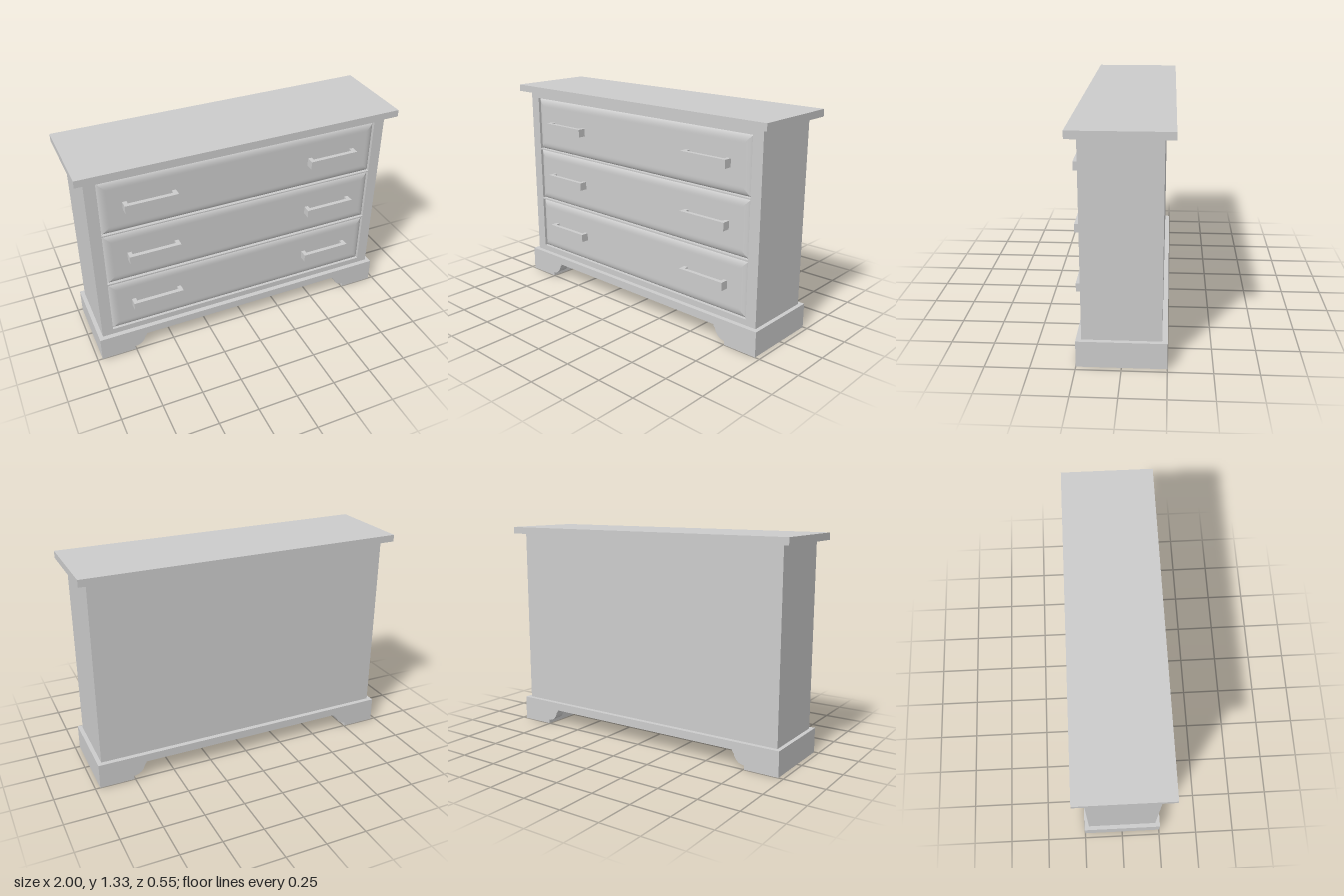
import * as THREE from 'three';

const material = new THREE.MeshStandardMaterial({ color: 0xcccccc });

function add(parent, name, geometry, x = 0, y = 0, z = 0) {
  const mesh = new THREE.Mesh(geometry, material);
  mesh.name = name;
  mesh.position.set(x, y, z);
  parent.add(mesh);
  return mesh;
}

// Box given by its minimum and maximum corners
function addBox(parent, name, [x0, y0, z0], [x1, y1, z1]) {
  return add(parent, name, new THREE.BoxGeometry(x1 - x0, y1 - y0, z1 - z0),
    (x0 + x1) / 2, (y0 + y1) / 2, (z0 + z1) / 2);
}

function rectangle(path, x0, y0, x1, y1) {
  path.moveTo(x0, y0);
  path.lineTo(x1, y0);
  path.lineTo(x1, y1);
  path.lineTo(x0, y1);
  path.closePath();
  return path;
}

const extrude = (shape, depth) =>
  new THREE.ExtrudeGeometry(shape, { depth, bevelEnabled: false });

// Plinth outline: two feet joined by a rail, with optional rounded brackets
function plinthShape(brackets) {
  const right = [[0.97, 0], [0.755, 0]];
  if (brackets) {
    right.push([0.755, 0.025]);
    for (let i = 1; i <= 8; i++) {
      const a = (i / 8) * 1.4;
      right.push([0.755 - 0.07 * Math.sin(a), 0.095 - 0.07 * Math.cos(a)]);
    }
    right.push([0.676, 0.095], [0.674, 0.105]);
  } else {
    right.push([0.755, 0.105]);
  }
  const left = right.map(([x, y]) => [-x, y]).reverse();
  const outline = [[0.97, 0.155], ...right, ...left, [-0.97, 0.155]];
  return new THREE.Shape(outline.map(([x, y]) => new THREE.Vector2(x, y)));
}

// Raised panel: four mitred rounded borders around a flat field
function drawerGeometry(w, h, rise) {
  const profile = [[0, 0], [0, 0.15 * rise]];
  for (let i = 1; i <= 8; i++) {
    const a = (i / 8) * Math.PI / 2;
    profile.push([0.045 * (1 - Math.cos(a)), rise * (0.15 + 0.85 * Math.sin(a))]);
  }
  profile.push([0.052, rise]);
  const corners = [[-1, -1], [1, -1], [1, 1], [-1, 1]];
  const positions = [], index = [];
  const corner = (k, inset, z) => positions.push(
    corners[k % 4][0] * (w / 2 - inset), corners[k % 4][1] * (h / 2 - inset), z);
  for (let side = 0; side < 4; side++) {
    profile.forEach(([inset, z], i) => {
      const a = positions.length / 3;
      corner(side, inset, z);
      corner(side + 1, inset, z);
      if (i > 0) index.push(a - 2, a - 1, a + 1, a - 2, a + 1, a);
    });
  }
  const f = positions.length / 3;
  for (let k = 0; k < 4; k++) corner(k, 0.052, rise);
  index.push(f, f + 1, f + 2, f, f + 2, f + 3);
  const geometry = new THREE.BufferGeometry();
  geometry.setAttribute('position', new THREE.Float32BufferAttribute(positions, 3));
  geometry.setIndex(index);
  geometry.computeVertexNormals();
  return geometry;
}

// U-shaped pull: a bar on two end posts
function addHandle(parent, x, y, z) {
  const handle = new THREE.Group();
  handle.name = 'handle';
  handle.position.set(x, y, z);
  addBox(handle, 'handleBar', [-0.158, -0.025, 0.025], [0.158, 0.025, 0.05]);
  for (const s of [-1, 1]) {
    add(handle, 'handlePost', new THREE.BoxGeometry(0.025, 0.05, 0.027), s * 0.1455, 0, 0.0125);
  }
  parent.add(handle);
}

export function createModel() {
  const model = new THREE.Group();
  model.name = 'chestOfDrawers';
  const front = 0.22, recess = 0.025;
  const drawerW = 1.75, drawerH = 0.342;
  const drawerCentres = [0.365, 0.721, 1.075];

  // Top board and carcass
  addBox(model, 'topBoard', [-1, 1.29, -0.277], [1, 1.333, 0.277]);
  addBox(model, 'carcass', [-0.945, 0.155, -front], [0.945, 1.29, front - recess]);

  // Face frame with one opening per drawer
  const frame = rectangle(new THREE.Shape(), -0.945, 0.155, 0.945, 1.29);
  for (const y of drawerCentres) {
    const hw = drawerW / 2 + 0.002, hh = drawerH / 2 + 0.002;
    frame.holes.push(rectangle(new THREE.Path(), -hw, y - hh, hw, y + hh));
  }
  add(model, 'faceFrame', extrude(frame, recess), 0, 0, front - recess);

  // Drawers with a pair of handles each
  const panel = drawerGeometry(drawerW, drawerH, recess);
  for (const y of drawerCentres) {
    const drawer = new THREE.Group();
    drawer.name = 'drawer';
    drawer.position.set(0, y, front - recess);
    add(drawer, 'drawerFront', panel);
    for (const s of [-1, 1]) addHandle(drawer, s * 0.582, 0, recess);
    model.add(drawer);
  }

  // Plinth: bracketed boards at front and back, straight feet between
  const half = 0.25, board = 0.07;
  const bracketed = extrude(plinthShape(true), board);
  add(model, 'plinthFront', bracketed, 0, 0, half - board);
  add(model, 'plinthBack', bracketed, 0, 0, -half);
  add(model, 'plinthMiddle', extrude(plinthShape(false), 2 * (half - board)), 0, 0, board - half);

  return model;
}
